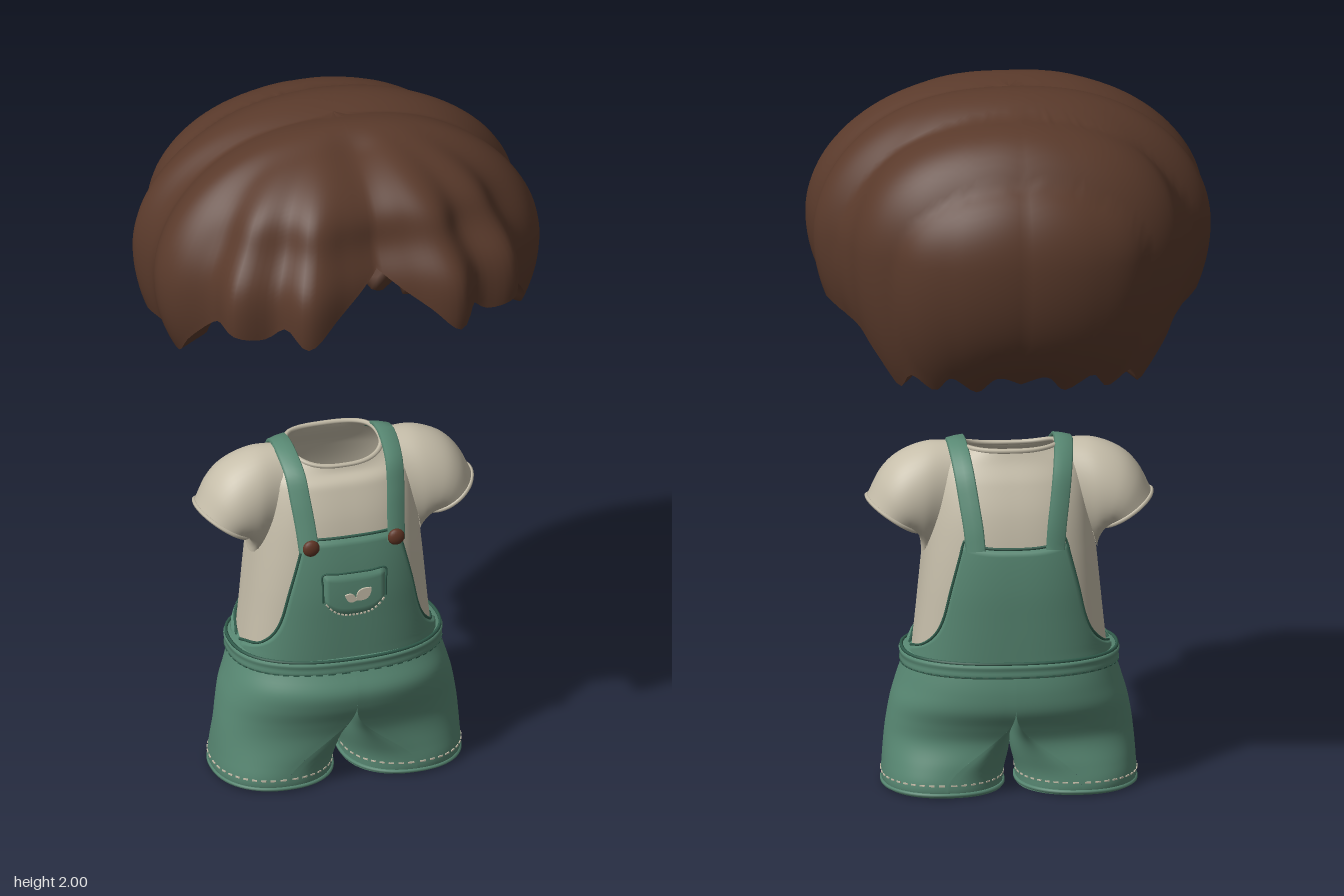
import * as THREE from 'three';

const mat = (name, hex) => {
  const m = new THREE.MeshStandardMaterial({ color: hex, side: THREE.DoubleSide });
  m.name = name;
  return m;
};
// Smooth curve through rows [t, v1, v2, ...]; returns column k at t
function sample(rows, t, k = 1) {
  const n = rows.length;
  t = Math.min(Math.max(t, rows[0][0]), rows[n - 1][0]);
  let i = 0;
  while (i < n - 2 && t > rows[i + 1][0]) i++;
  const slope = (j) => {
    const a = rows[Math.max(j - 1, 0)], b = rows[Math.min(j + 1, n - 1)];
    return (b[k] - a[k]) / (b[0] - a[0]);
  };
  const p = rows[i], q = rows[i + 1], h = q[0] - p[0], s = (t - p[0]) / h;
  const s2 = s * s, s3 = s2 * s;
  return (2 * s3 - 3 * s2 + 1) * p[k] + (s3 - 2 * s2 + s) * h * slope(i)
    + (3 * s2 - 2 * s3) * q[k] + (s3 - s2) * h * slope(i + 1);
}
// Surface from f(u, v) -> [x, y, z]; wraps in u when closed, drops cells where skip(x, y, z)
function grid(nu, nv, f, closed = false, skip = null) {
  const pos = [], idx = [], cols = closed ? nu : nu + 1;
  for (let j = 0; j <= nv; j++) for (let i = 0; i < cols; i++) pos.push(...f(i / nu, j / nv));
  for (let j = 0; j < nv; j++) for (let i = 0; i < nu; i++) {
    const a = j * cols + i, b = j * cols + (i + 1) % cols, c = a + cols, d = b + cols;
    const mid = (k) => (pos[a * 3 + k] + pos[d * 3 + k]) / 2;
    if (!skip || !skip(mid(0), mid(1), mid(2))) idx.push(a, c, b, b, c, d);
  }
  const g = new THREE.BufferGeometry();
  g.setAttribute('position', new THREE.Float32BufferAttribute(pos, 3));
  g.setIndex(idx);
  g.computeVertexNormals();
  return g;
}
const pw = (v, e) => Math.sign(v) * Math.abs(v) ** e;
const rad = Math.PI / 180;

// Torso: y, half width, half depth
const TORSO = [[0.36, 0.27, 0.18], [0.5, 0.255, 0.187], [0.6, 0.245, 0.19], [0.7, 0.235, 0.184], [0.8, 0.225, 0.167],
  [0.88, 0.213, 0.14], [0.94, 0.185, 0.112], [0.978, 0.13, 0.098]];
const torso = (a, y, off = 0) => [(sample(TORSO, y, 1) + off) * pw(Math.sin(a), 0.75), y,
  (sample(TORSO, y, 2) + off) * pw(Math.cos(a), 0.75)];
const torsoZ = (x, y) => sample(TORSO, y, 2) * Math.max(0, 1 - Math.abs(x / sample(TORSO, y, 1)) ** 2.667) ** 0.375;

// Trousers: y, half width, front z, back z
const PANTS = [[0, 0.342, 0.182, -0.162], [0.015, 0.35, 0.19, -0.17], [0.08, 0.348, 0.19, -0.165], [0.15, 0.342, 0.195, -0.16],
  [0.2, 0.335, 0.21, -0.18], [0.25, 0.325, 0.23, -0.205], [0.3, 0.31, 0.237, -0.21], [0.35, 0.295, 0.215, -0.205], [0.39, 0.285, 0.195, -0.195]];
// One trouser half: a half oval at the hip that turns into a full oval at the hem
function leg(a, y, s, off = 0) {
  const W = sample(PANTS, y, 1) + off, zf = sample(PANTS, y, 2) + off, zb = sample(PANTS, y, 3) - off;
  const k = THREE.MathUtils.smoothstep(0.27 - y, 0, 0.24) ** 1.5;
  const gap = 0.018 * THREE.MathUtils.smoothstep(0.14 - y, 0, 0.12), cx = (W + gap) / 2, hw = (W - gap) / 2;
  const sn = Math.sin(a), cs = Math.cos(a), zc = (zf + zb) / 2, hz = (zf - zb) / 2;
  const hip = sn > 0 ? W * pw(sn, 0.85) : 0;
  return [s * (hip * (1 - k) + (cx + hw * pw(sn, 0.9)) * k), y, zc + hz * pw(cs, 0.88)];
}

// Hair tables by angle from the front: outline radius and hem height
const HAIR_R = [[0, 0.445], [12, 0.475], [24, 0.545], [35, 0.51], [46, 0.565], [57, 0.52], [69, 0.56], [81, 0.555], [90, 0.52],
  [100, 0.55], [116, 0.515], [126, 0.53], [142, 0.535], [157, 0.52], [180, 0.5]];
const HAIR_HEM = [[0, 1.71], [8, 1.65], [16, 1.59], [24, 1.52], [31, 1.57], [38, 1.53], [46, 1.54], [52, 1.56], [58, 1.53],
  [65, 1.47], [72, 1.4], [80, 1.42], [92, 1.415], [100, 1.42], [106, 1.39], [113, 1.38], [120, 1.355], [126, 1.3], [131, 1.22],
  [138, 1.265], [145, 1.22], [153, 1.265], [160, 1.21], [170, 1.26], [180, 1.23]];
function hairPoint(u, v) {
  const a = u * 2 * Math.PI, deg = Math.min(u, 1 - u) * 360, c = 1.6;
  const hem = sample(HAIR_HEM, deg) - c;
  const low = 0.47 + 0.15 * Math.exp(-(((deg - 134) / 24) ** 2));
  const inner = v > 0.55, t = inner ? (1 - v) / 0.45 : v / 0.5;
  const phi = Math.min(t, 1) * Math.acos(hem / (hem > 0 ? 0.4 : low));
  const sn = Math.sin(phi), cs = Math.cos(phi);
  const back = THREE.MathUtils.smoothstep(-Math.cos(a), 0, 1), front = THREE.MathUtils.smoothstep(Math.cos(a), 0.3, 0.9);
  let r = THREE.MathUtils.lerp(0.53, sample(HAIR_R, deg), sn * sn) * sn ** (cs > 0 ? 0.85 + 0.13 * back : 0.85);
  let y = cs * (cs > 0 ? 0.395 : low);
  if (inner) { r *= 0.82; if (y > 0) y *= 0.84; } else {
    // broad locks sweeping from side to side, a parting over the brow and a full fringe
    const x = r * Math.sin(a), z = r * Math.cos(a);
    let d = 0.032 * (Math.abs(Math.sin(Math.PI * (z - 0.04 + 0.12 * (y - 0.2)) / 0.23)) - 0.65);
    if (z > 0.1) d = THREE.MathUtils.lerp(d, -0.025 * Math.exp(-((x / 0.07) ** 2)), THREE.MathUtils.smoothstep(z, 0.1, 0.22));
    r *= 1 + d * 1.3 - 0.06 * front * Math.exp(-(((y - 0.17) / 0.07) ** 2));
    y += d * Math.max(cs, 0) * 0.8;
  }
  return [r * Math.sin(a), c + y, r * Math.cos(a)];
}

export function createModel() {
  const model = new THREE.Group();
  const green = mat('overall green', 0x588873), dark = mat('seam green', 0x315c4c), cream = mat('shirt cream', 0xc6beaa);
  const brown = mat('hair brown', 0x5a3a2b), button = mat('button brown', 0x5e3424);
  const add = (name, geo, m) => {
    const mesh = new THREE.Mesh(geo, m);
    mesh.name = name;
    model.add(mesh);
    return mesh;
  };
  const tube = (name, pts, r, m, closed = false) => add(name, new THREE.TubeGeometry(
    new THREE.CatmullRomCurve3(pts.map((p) => new THREE.Vector3(...p)), closed), 64, r, 6, closed), m);
  // Row of short dashes along f(t)
  const dashes = (name, n, f, m) => {
    const group = new THREE.Group();
    group.name = name;
    for (let i = 0; i < n; i++) {
      const p = new THREE.Vector3(...f((i + 0.2) / n)), q = new THREE.Vector3(...f((i + 0.75) / n));
      const b = new THREE.Mesh(new THREE.BoxGeometry(0.004, 0.004, p.distanceTo(q)), m);
      b.position.copy(p).add(q).multiplyScalar(0.5);
      b.lookAt(q);
      group.add(b);
    }
    model.add(group);
  };

  add('hair', grid(180, 80, hairPoint, true), brown);

  // Shirt body with open armholes and a neckline lower at the front
  const neckY = (a) => 0.953 - 0.016 * Math.cos(a) + 0.014 * Math.sin(a) ** 2;
  add('shirtBody', grid(224, 120, (u, v) => {
    const a = u * 2 * Math.PI, p = torso(a, 0.36 + v * 0.618);
    p[1] += (neckY(a) - 0.978) * THREE.MathUtils.smoothstep(v, 0.85, 1);
    return p;
  }, true, (x, y, z) => Math.abs(x) > 0.12 && y < 0.93 && (z / 0.095) ** 2 + ((y - 0.82) / 0.154) ** 2 < 1), cream);
  const ring = (f, n = 40) => Array.from({ length: n }, (_, i) => f(i / n * 2 * Math.PI));
  tube('collar', ring((a) => [0.13 * pw(Math.sin(a), 0.75), neckY(a), 0.098 * pw(Math.cos(a), 0.75)]), 0.007, cream, true);

  // Sleeves: section centre x, y, half axis x, y, half depth
  const SLEEVE = [[0, 0.196, 0.82, -0.046, 0.156, 0.1], [1, 0.2365, 0.828, -0.006, 0.146, 0.112], [2, 0.2755, 0.822, 0.03, 0.122, 0.115],
    [3, 0.302, 0.805, 0.0535, 0.09, 0.112], [4, 0.32, 0.775, 0.072, 0.047, 0.104]];
  for (const s of [1, -1]) {
    const sleeve = (a, t) => {
      const [cx, cy, dx, dy, dz] = [1, 2, 3, 4, 5].map((k) => sample(SLEEVE, t, k));
      return [s * (cx + dx * Math.cos(a)), cy + dy * Math.cos(a), dz * Math.sin(a)];
    };
    add('sleeve', grid(48, 24, (u, v) => sleeve(u * 2 * Math.PI, v * 4), true), cream);
    tube('sleeveHem', ring((a) => sleeve(a, 4)), 0.006, cream, true);
  }

  // Trousers: outer and inner side of each half, hem and stitches
  for (const s of [1, -1]) {
    add('trouserLegOuter', grid(48, 40, (u, v) => leg(u * Math.PI, v * 0.39, s)), green);
    add('trouserLegInner', grid(32, 30, (u, v) => leg((1 + u) * Math.PI, v * 0.28, s)), green);
    tube('legHem', ring((a) => leg(a, 0.01, s)), 0.006, green, true);
    dashes('hemStitches', 40, (t) => leg(t * 2 * Math.PI, 0.037, s, 0.001), cream);
  }

  // Waistband
  const band = (a, off, y) => [(0.288 + off) * pw(Math.sin(a), 0.85), y, (0.2 + off) * pw(Math.cos(a), 0.85)];
  const BAND = [[0, 0.345, -0.01], [0.15, 0.35, 0.01], [0.5, 0.37, 0.012], [0.85, 0.39, 0.01], [1, 0.397, -0.03]];
  add('waistband', grid(96, 12, (u, v) => band(u * 2 * Math.PI, sample(BAND, v, 2), sample(BAND, v, 1)), true), green);
  tube('waistSeam', ring((a) => band(a, 0.008, 0.392)), 0.005, dark, true);
  dashes('waistStitches', 56, (t) => band(t * 2 * Math.PI, 0.012, 0.354), dark);

  // Bib panels: height and half angle around the body; the back one dips between the straps
  const BIB = [[0.38, 90], [0.4, 88], [0.42, 68], [0.45, 53], [0.5, 44], [0.6, 38], [0.76, 28]];
  for (const [name, turn, top, dip] of [['frontBib', 0, 0.76, 0], ['backBib', Math.PI, 0.735, 0.02]]) {
    const edge = (u, y, off) => torso(turn + u * sample(BIB, y) * rad, y, off);
    const topY = (u) => top - dip * (1 - u * u);
    add(name, grid(32, 32, (u, v) => {
      const rim = u === 0 || u === 1 || v === 1, k = u * 2 - 1;
      return edge(k, 0.38 + v * (topY(k) - 0.38), rim ? 0 : 0.014);
    }), green);
    const pts = [];
    for (let i = 0; i <= 12; i++) pts.push(edge(-1, 0.4 + (top - 0.4) * i / 12, 0.007));
    for (let i = 1; i < 8; i++) pts.push(edge(i / 4 - 1, topY(i / 4 - 1), 0.009));
    for (let i = 12; i >= 0; i--) pts.push(edge(1, 0.4 + (top - 0.4) * i / 12, 0.007));
    tube(name + 'Piping', pts, 0.004, dark);
  }

  // Shoulder straps and buttons
  const on = (x, y, side, off) => [x, y, side * (torsoZ(x, y) + off)];
  const STRAP = [on(0.125, 0.73, 1, 0.02), on(0.13, 0.8, 1, 0.014), on(0.137, 0.87, 1, 0.015), on(0.142, 0.93, 1, 0.018),
    [0.146, 0.962, 0.064], [0.148, 0.978, 0.015], [0.147, 0.977, -0.03], [0.142, 0.952, -0.082],
    on(0.135, 0.91, -1, 0.016), on(0.125, 0.84, -1, 0.014), on(0.115, 0.77, -1, 0.014), on(0.11, 0.71, -1, 0.014)];
  for (const s of [1, -1]) {
    const path = new THREE.CatmullRomCurve3(STRAP.map((p) => new THREE.Vector3(...p)));
    add('strap', grid(8, 48, (u, v) => {
      const p = path.getPointAt(v), t = path.getTangentAt(v), a = u * 2 * Math.PI;
      const out = new THREE.Vector3(1, 0, 0).cross(t).normalize();
      p.addScaledVector(out, 0.007 * pw(Math.sin(a), 0.5));
      // the outer edge drops a little with the shoulder
      const w = 0.027 * pw(Math.cos(a), 0.5);
      return [s * (p.x + w), p.y - 0.12 * w, p.z - Math.sign(p.z) * 0.25 * w];
    }, true), green);
    const b = add('strapButton', new THREE.SphereGeometry(0.024, 20, 12), button);
    b.scale.z = 0.55;
    b.position.set(s * 0.122, 0.745, torsoZ(0.122, 0.745) + 0.03);
  }

  // Pocket with seam, stitches and a two-leaf patch
  const pocketLow = (u) => 0.525 + 0.05 * Math.abs(u) ** 3;
  const pocket = (u, y, off) => on(u * 0.09, y, 1, off);
  add('pocket', grid(20, 10, (u, v) => {
    const k = u * 2 - 1, rim = u === 0 || u === 1 || v === 0 || v === 1;
    return pocket(k, THREE.MathUtils.lerp(pocketLow(k), 0.66, v), rim ? 0.012 : 0.023);
  }), green);
  tube('pocketSeam', [pocket(-1, 0.575, 0.018), pocket(-1, 0.62, 0.018), pocket(-1, 0.658, 0.018), pocket(-0.5, 0.66, 0.02),
    pocket(0, 0.66, 0.02), pocket(0.5, 0.66, 0.02), pocket(1, 0.658, 0.018), pocket(1, 0.62, 0.018), pocket(1, 0.575, 0.018)], 0.003, dark);
  dashes('pocketStitches', 16, (t) => pocket(t * 1.9 - 0.95, pocketLow(t * 1.9 - 0.95) + 0.008, 0.025), cream);
  for (const [angle, len] of [[150, 0.038], [38, 0.054]]) {
    const shape = new THREE.Shape();
    shape.moveTo(0, 0);
    shape.quadraticCurveTo(len * 0.4, len * 0.65, len, 0);
    shape.quadraticCurveTo(len * 0.5, -len * 0.6, 0, 0);
    const leaf = add('leafPatch', new THREE.ExtrudeGeometry(shape, { depth: 0.006, bevelEnabled: false }), cream);
    leaf.rotation.z = angle * rad;
    leaf.position.set(0.002, 0.577, torsoZ(0, 0.58) + 0.022);
  }
  return model;
}
